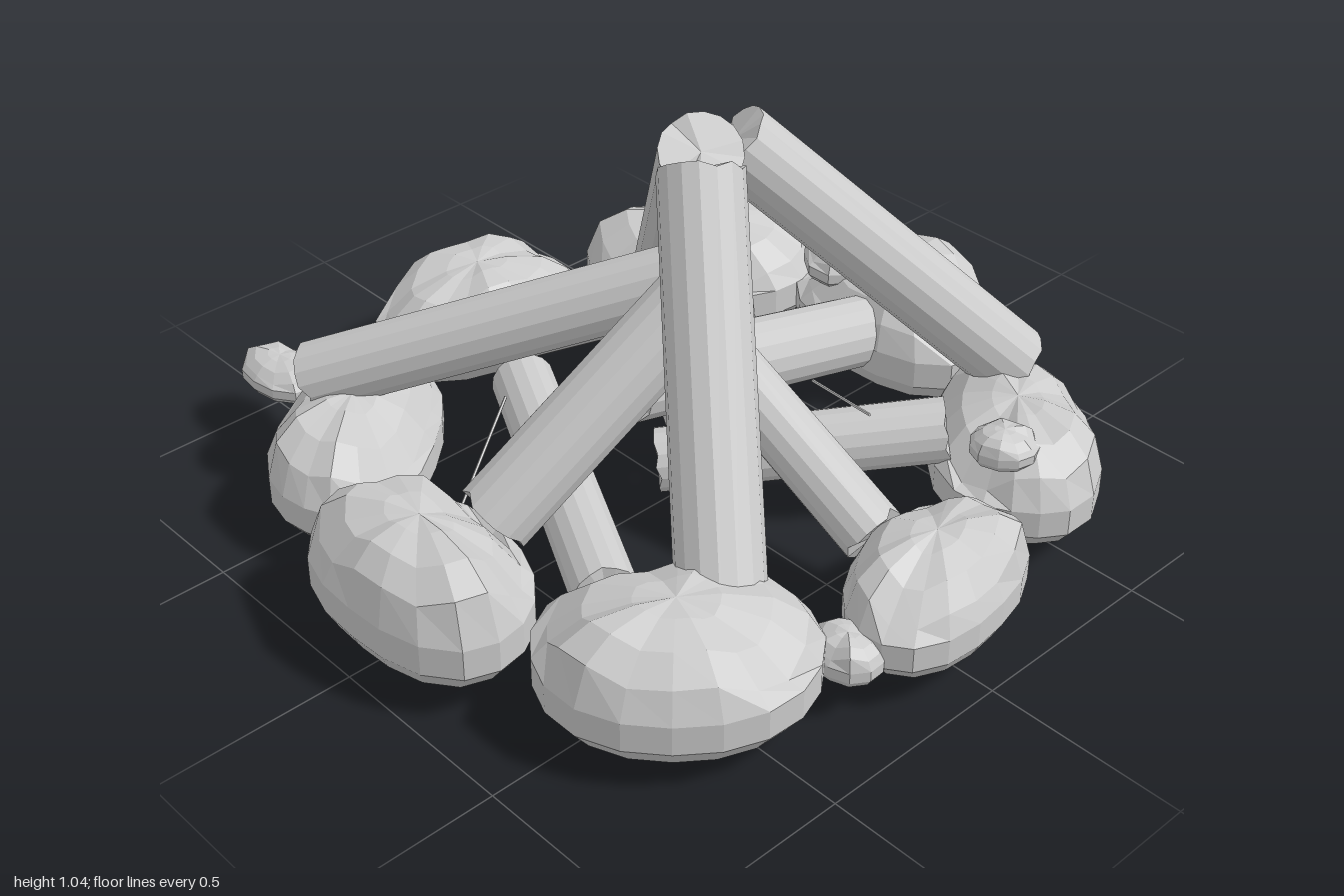
import * as THREE from 'three';

const mat = new THREE.MeshStandardMaterial({ color: 0xcccccc, flatShading: true, side: THREE.DoubleSide });

// Log between two points, with slightly splintered ends
function log(name, from, to, r, seed = 0, sides = 16) {
  const a = new THREE.Vector3(...from), b = new THREE.Vector3(...to);
  const len = a.distanceTo(b);
  const geo = new THREE.CylinderGeometry(r * 0.98, r, len, sides, 1);
  const p = geo.attributes.position;
  for (let i = 0; i < p.count; i++) {
    const x = p.getX(i), y = p.getY(i), z = p.getZ(i);
    if (Math.hypot(x, z) < r * 0.5) continue;
    const ang = Math.atan2(z, x);
    const chip = Math.max(0, Math.sin(ang * 2 + seed) * Math.sin(ang * 5 + seed * 2.3) - 0.3) * r * 0.35;
    p.setY(i, y - Math.sign(y) * chip);
  }
  const mesh = new THREE.Mesh(geo, mat);
  mesh.name = name;
  mesh.position.copy(a).add(b).multiplyScalar(0.5);
  mesh.quaternion.setFromUnitVectors(new THREE.Vector3(0, 1, 0), b.sub(a).normalize());
  return mesh;
}

// Faceted stone: a lathe profile stretched to an uneven, rounded-square outline.
// Its local +z side faces outward; tilt raises the top on that side.
const profile = [[0, -0.08], [0.25, 0], [0.62, 0.03], [0.87, 0.12], [1, 0.28], [1, 0.52], [0.88, 0.7], [0.64, 0.88], [0.3, 0.96], [0, 0.97]]
  .map(([r, y]) => new THREE.Vector2(r, y));

function stone(name, [x, z], [halfLong, halfWide], [y0, y1], turn, tilt, seed, sides = 18) {
  const geo = new THREE.LatheGeometry(profile, sides);
  const p = geo.attributes.position;
  for (let i = 0; i < p.count; i++) {
    const px = p.getX(i), py = p.getY(i), pz = p.getZ(i);
    const r = Math.hypot(px, pz), t = Math.atan2(pz, px);
    const square = Math.pow(Math.abs(Math.cos(t)) ** 2.3 + Math.abs(Math.sin(t)) ** 2.3, -1 / 2.3);
    const k = square * (0.985 + 0.03 * Math.sin(2 * t + seed) + 0.03 * Math.sin(3 * t + seed * 1.7));
    // lumps on the upper side only
    const lump = py > 0.6 ? tilt * pz + 0.1 * r * Math.sin(2 * t + seed * 2.1) + 0.07 * r * Math.sin(5 * t + seed) : 0;
    p.setXYZ(i, px * k * halfLong, y0 + (py + lump) * (y1 - y0), pz * k * halfWide);
  }
  const mesh = new THREE.Mesh(geo, mat);
  mesh.name = name;
  mesh.position.set(x, 0, z);
  mesh.rotation.y = THREE.MathUtils.degToRad(turn);
  return mesh;
}

export function createModel() {
  const model = new THREE.Group();
  model.name = 'campfire';

  // Ring of large stones
  const ring = new THREE.Group();
  ring.name = 'stoneRing';
  [
    ['frontStone', [0.015, 0.79], [0.305, 0.215], [0.045, 0.37], 0, 0.13],
    ['frontLeftStone', [0.58, 0.555], [0.31, 0.25], [0.035, 0.345], 45, 0.03],
    ['leftStone', [0.79, -0.03], [0.27, 0.18], [0.06, 0.33], 101, 0.05],
    ['backLeftStone', [0.58, -0.56], [0.31, 0.2], [0.04, 0.33], 135, 0.05],
    ['backStone', [0, -0.79], [0.305, 0.21], [0.05, 0.35], 180, 0.12],
    ['backRightStone', [-0.54, -0.58], [0.31, 0.22], [0.05, 0.35], -133, 0.08],
    ['rightStone', [-0.785, -0.01], [0.29, 0.21], [0.06, 0.33], -90, 0],
    ['frontRightStone', [-0.52, 0.58], [0.32, 0.2], [0.035, 0.33], -54, 0.05],
  ].forEach(([name, c, half, ys, turn, tilt], i) => ring.add(stone(name, c, half, ys, turn, tilt, i * 1.3 + 0.4)));
  model.add(ring);

  // Pebbles beside and on top of the ring
  const pebbles = new THREE.Group();
  pebbles.name = 'pebbles';
  [
    [[-0.87, 0.56], [0.12, 0.085], [0.15, 0.25], 0],
    [[0.8, 0.26], [0.09, 0.075], [0.1, 0.21], 10],
    [[0.67, -0.4], [0.085, 0.07], [0.26, 0.35], 30],
    [[-0.19, -0.76], [0.13, 0.1], [0.25, 0.36], -40],
  ].forEach(([c, half, ys, turn], i) => pebbles.add(stone('pebble', c, half, ys, turn, 0, i * 2 + 1, 11)));
  model.add(pebbles);

  // Leaning logs and the lower ones inside the pile
  const logs = new THREE.Group();
  logs.name = 'logs';
  [
    ['tallFrontLog', [0.58, 0.22, 0.42], [0.12, 0.98, 0.05], 0.102],
    ['tallBackLeftLog', [0.46, 0.3, -0.69], [0.03, 0.95, -0.14], 0.094],
    ['tallBackRightLog', [-0.45, 0.19, -0.36], [0.08, 0.99, 0.01], 0.1],
    ['middleRightLog', [-0.65, 0.31, 0.61], [0.03, 0.65, 0.04], 0.088],
    ['middleFrontLog', [-0.01, 0.22, 0.57], [0.14, 0.67, 0.08], 0.096],
    ['leftLog', [0.62, 0.21, -0.02], [0.05, 0.5, -0.01], 0.078],
    ['rightLog', [-0.62, 0.19, 0], [-0.04, 0.57, -0.02], 0.08],
    ['backLog', [0, 0.2, -0.63], [0.07, 0.47, 0.24], 0.093],
    ['lowBackLog', [0.5, 0.26, -0.4], [0.03, 0.17, 0.1], 0.08],
    ['lowBackRightLog', [-0.5, 0.19, -0.36], [0.02, 0.15, -0.05], 0.07],
    ['lowCrossLog', [-0.45, 0.17, 0.12], [0.33, 0.17, 0.53], 0.08],
  ].forEach(([name, a, b, r], i) => logs.add(log(name, a, b, r, i * 1.1)));
  model.add(logs);

  // Thin twigs
  [
    [[-0.21, 0.4, -0.43], [-0.05, 0.3, -0.31]],
    [[0.2, 0.32, -0.25], [0.43, 0.36, -0.2]],
    [[-0.24, 0.33, 0.34], [-0.1, 0.2, 0.6]],
  ].forEach(([a, b]) => model.add(log('twig', a, b, 0.004, 0, 5)));

  return model;
}
